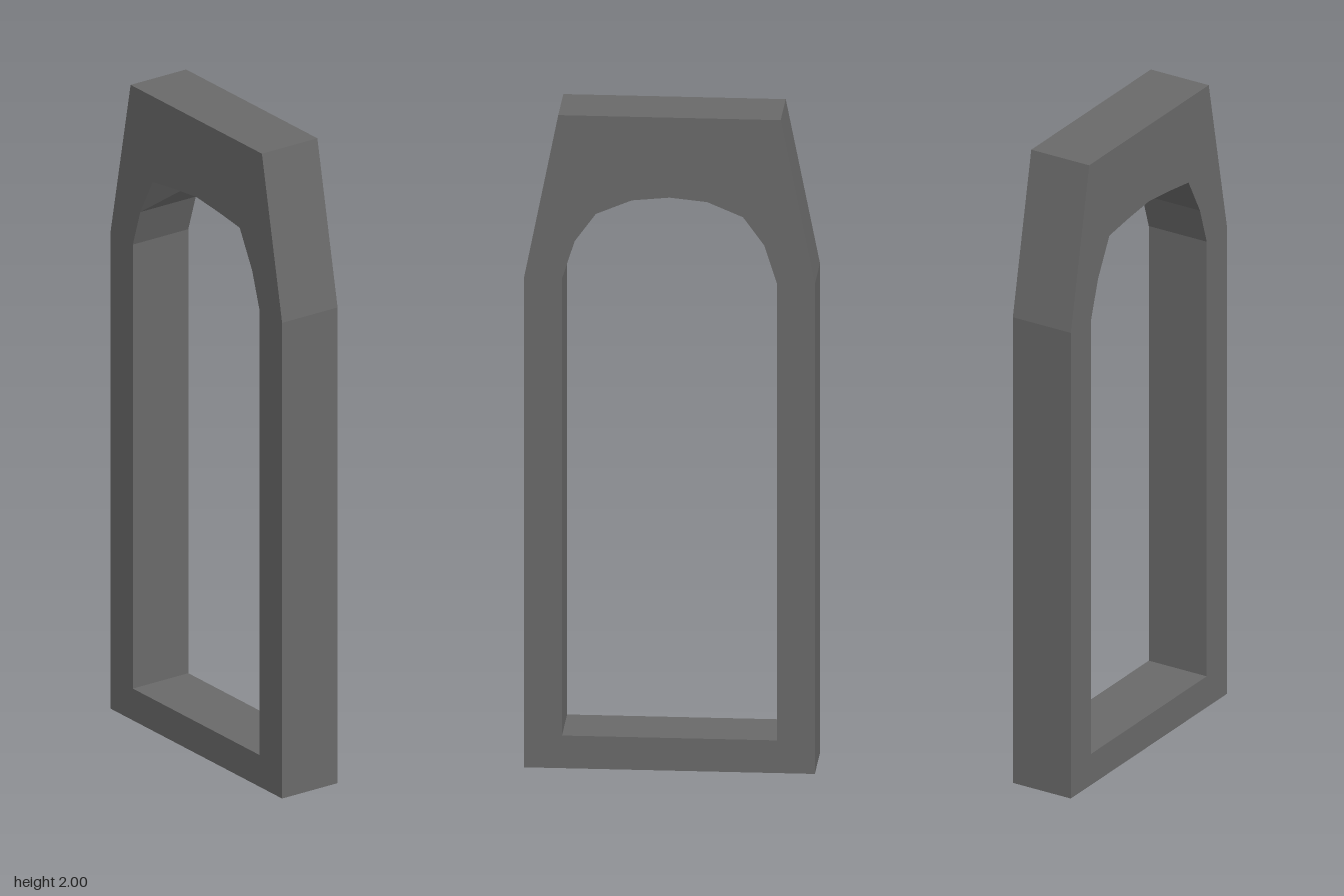
import * as THREE from 'three';

const DEPTH = 0.2;
const HAUNCH_BACK = 1.7;
const HAUNCH_FRONT = 1.73;

// Mirrors a right-hand run of points (bottom to top) into a closed outline
function mirrored(points) {
  const left = points.filter(([x]) => x > 0).reverse().map(([x, y]) => [-x, y]);
  return [...points, ...left].map(([x, y]) => new THREE.Vector2(x, y));
}

export function createModel() {
  const group = new THREE.Group();
  group.name = 'archedFrame';

  // Outer outline with tapered shoulders, and the arched opening
  const outline = new THREE.Shape(mirrored([[0.425, 0], [0.425, 1.5], [0.325, 2]]));
  outline.holes.push(new THREE.Path(mirrored([
    [0.314, 0.1], [0.314, 1.5], [0.277, 1.615], [0.215, HAUNCH_BACK], [0.11, 1.744], [0, 1.755],
  ])));

  const geometry = new THREE.ExtrudeGeometry(outline, { depth: DEPTH, bevelEnabled: false });
  geometry.translate(0, 0, -DEPTH / 2);

  // The arch haunches are cut higher at the front than at the back
  const pos = geometry.attributes.position;
  for (let i = 0; i < pos.count; i++) {
    if (pos.getZ(i) > 0 && Math.abs(pos.getY(i) - HAUNCH_BACK) < 0.001) {
      pos.setY(i, HAUNCH_FRONT);
    }
  }
  geometry.computeVertexNormals();

  const frame = new THREE.Mesh(
    geometry,
    new THREE.MeshStandardMaterial({ color: 0x6a6a6a, flatShading: true }),
  );
  frame.name = 'frame';
  group.add(frame);
  return group;
}
